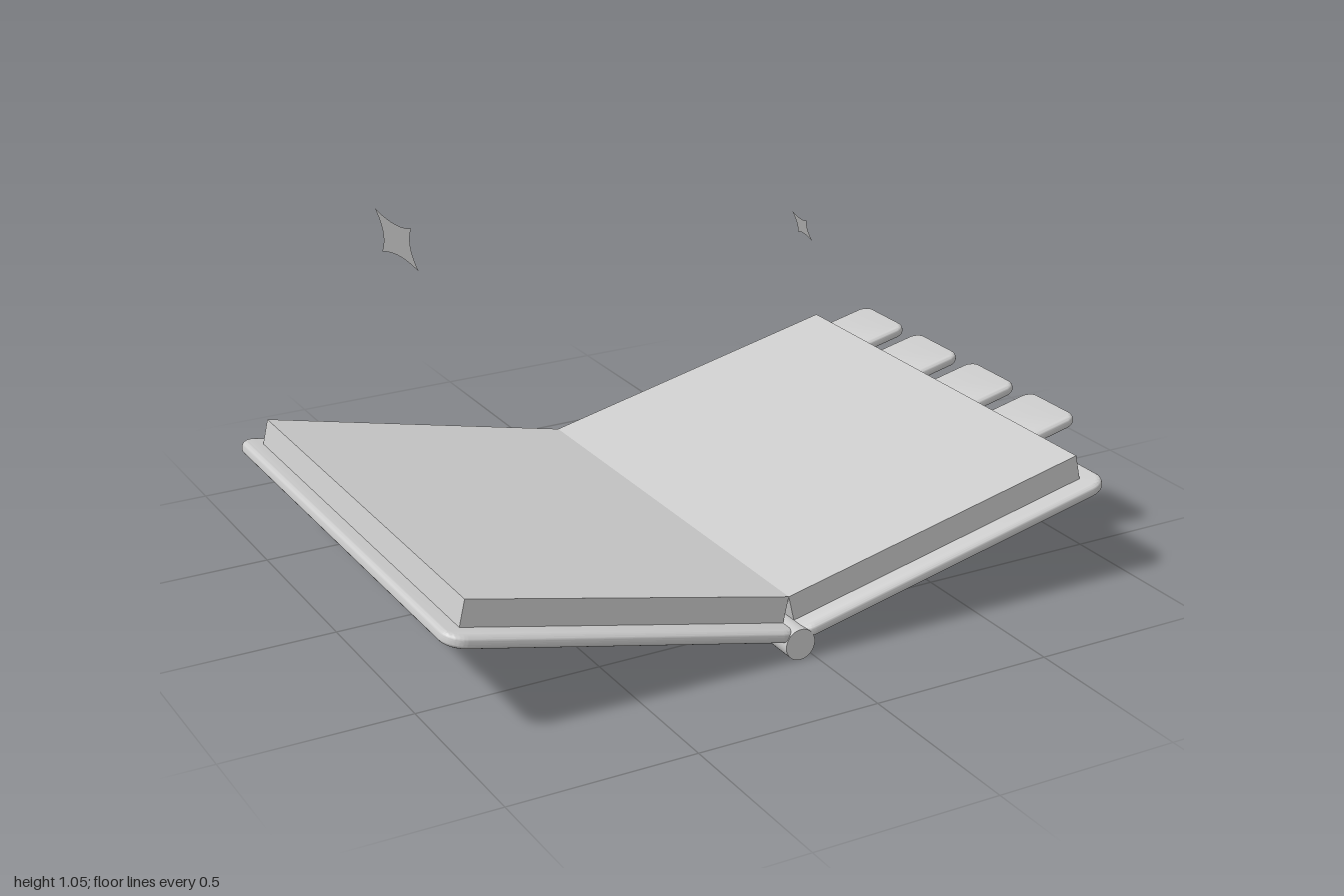
import * as THREE from 'three';
import { toCreasedNormals } from 'three/addons/utils/BufferGeometryUtils.js';

const TILT = THREE.MathUtils.degToRad(12.9);
const HINGE = new THREE.Vector3(-0.042, 0.042, 0.01);
const DEPTH = 1.405;

// Rounded slab lying flat, centred on the origin, with softened rims
function slab(width, depth, thickness, radius, bevel) {
  const x = width / 2, y = depth / 2, r = radius;
  const s = new THREE.Shape();
  s.moveTo(-x + r, -y);
  s.lineTo(x - r, -y);
  s.absarc(x - r, -y + r, r, -Math.PI / 2, 0);
  s.lineTo(x, y - r);
  s.absarc(x - r, y - r, r, 0, Math.PI / 2);
  s.lineTo(-x + r, y);
  s.absarc(-x + r, y - r, r, Math.PI / 2, Math.PI);
  s.lineTo(-x, -y + r);
  s.absarc(-x + r, -y + r, r, Math.PI, Math.PI * 1.5);
  const geo = new THREE.ExtrudeGeometry(s, {
    depth: thickness - 2 * bevel, bevelEnabled: true, bevelThickness: bevel,
    bevelSize: bevel, bevelOffset: -bevel, bevelSegments: 5, curveSegments: 8,
  });
  geo.translate(0, 0, bevel - thickness / 2);
  geo.rotateX(-Math.PI / 2);
  return toCreasedNormals(geo, 0.6);
}

// Four-pointed star with concave sides
function starGeometry(r) {
  const s = new THREE.Shape();
  const c = r * 0.25;
  s.moveTo(r, 0);
  s.quadraticCurveTo(c, c, 0, r);
  s.quadraticCurveTo(-c, c, -r, 0);
  s.quadraticCurveTo(-c, -c, 0, -r);
  s.quadraticCurveTo(c, -c, r, 0);
  return new THREE.ShapeGeometry(s, 12);
}

export function createModel() {
  const model = new THREE.Group();
  model.name = 'openBook';
  const grey = new THREE.MeshStandardMaterial({ color: 0xcccccc, side: THREE.DoubleSide });
  grey.name = 'lightGrey';

  const add = (parent, name, geometry, x, y, z) => {
    const mesh = new THREE.Mesh(geometry, grey);
    mesh.name = name;
    mesh.position.set(x, y, z);
    parent.add(mesh);
    return mesh;
  };

  // Round spine along the hinge
  const spine = new THREE.CylinderGeometry(0.042, 0.042, DEPTH, 40).rotateX(Math.PI / 2);
  add(model, 'spine', spine, HINGE.x, HINGE.y, HINGE.z);

  // Two tilted halves: cover plus page block
  const halves = [[-1, 'right'], [1, 'left']].map(([side, label]) => {
    const half = new THREE.Group();
    half.name = label + 'Half';
    half.position.copy(HINGE);
    half.rotation.z = side * TILT;
    add(half, label + 'Cover', slab(0.987, DEPTH, 0.034, 0.055, 0.015), side * 0.4935, 0.017, 0);
    add(half, label + 'Pages', new THREE.BoxGeometry(0.909, 0.072, 1.286), side * 0.4785, 0.069, 0);
    model.add(half);
    return half;
  });

  // Index tabs along the outer edge of one half
  const tab = slab(0.196, 0.213, 0.032, 0.035, 0.014);
  for (let i = 0; i < 4; i++) {
    add(halves[1], 'indexTab' + (i + 1), tab, 0.988, 0.075, 0.352 - i * 0.277 - HINGE.z);
  }

  // Floating sparkles, turned to face the front left corner from above
  const sparkles = [
    ['largeSparkle', 0.098, -0.722, 0.967, -0.16],
    ['smallSparkle', 0.056, 0.812, 0.629, -0.673],
  ];
  for (const [name, r, x, y, z] of sparkles) {
    const star = add(model, name, starGeometry(r), x, y, z);
    star.lookAt(x + 1, y + 1, z + 1);
  }
  return model;
}
